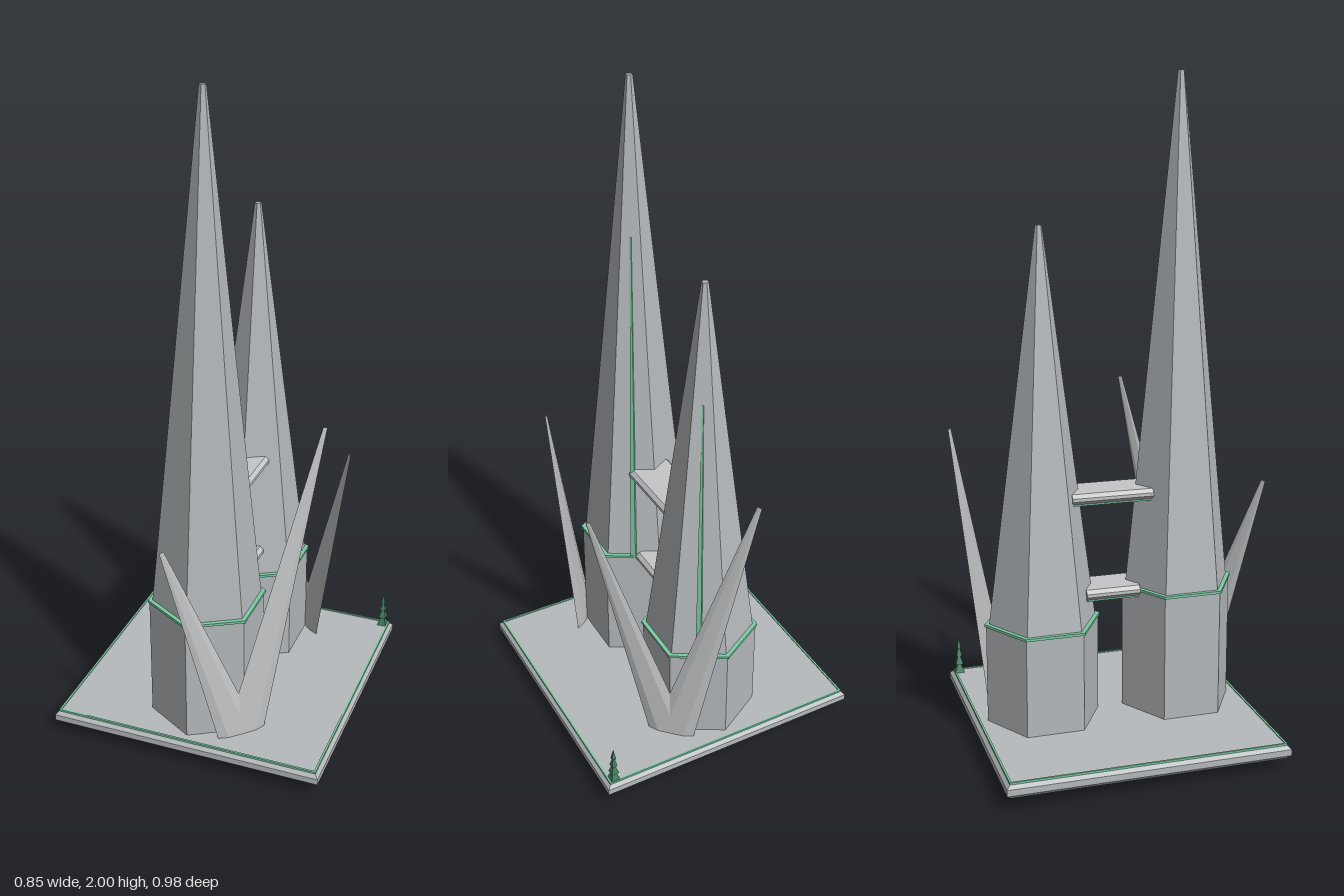
import * as THREE from 'three';

const mat = (name, color) =>
  new THREE.MeshStandardMaterial({ name, color, flatShading: true });

export function createModel() {
  const stone = mat('stone grey', 0xb6babd);
  const pale = mat('pale grey', 0xc4c6c7);
  const green = mat('mint green', 0x7cc9a2);
  const treeGreen = mat('dark green', 0x3f7f5f);

  const model = new THREE.Group();
  model.name = 'twinSpires';

  const add = (parent, name, geometry, material, x = 0, y = 0, z = 0) => {
    const mesh = new THREE.Mesh(geometry, material);
    mesh.name = name;
    mesh.position.set(x, y, z);
    parent.add(mesh);
    return mesh;
  };
  const square = (Type, r) => new Type([
    new THREE.Vector2(-r, -r), new THREE.Vector2(r, -r),
    new THREE.Vector2(r, r), new THREE.Vector2(-r, r),
  ]);

  // Chamfered base plate with a thin inlaid border
  const plate = new THREE.ExtrudeGeometry(square(THREE.Shape, 0.412), {
    depth: 0.019, bevelThickness: 0.013, bevelSize: 0.013, bevelSegments: 1,
  });
  plate.rotateX(-Math.PI / 2);
  add(model, 'basePlate', plate, stone, 0, 0.048, 0);
  const frame = square(THREE.Shape, 0.415);
  frame.holes.push(square(THREE.Path, 0.409));
  const border = new THREE.ExtrudeGeometry(frame, { depth: 0.006, bevelEnabled: false });
  border.rotateX(-Math.PI / 2);
  add(model, 'baseBorder', border, green, 0, 0.077, 0);

  // Hexagonal tower: drum, collar, spire and a tapered strip on one face
  const up = new THREE.Vector3(0, 1, 0);
  const makeTower = (name, z, collarY, topY) => {
    const tower = new THREE.Group();
    tower.name = name;
    tower.position.z = z;
    model.add(tower);
    const drumH = collarY - 0.07, h = topY - collarY;
    add(tower, 'drum', new THREE.CylinderGeometry(0.174, 0.174, drumH, 6), stone, 0, 0.07 + drumH / 2, 0);
    add(tower, 'collar', new THREE.CylinderGeometry(0.179, 0.179, 0.008, 6), green, 0, collarY, 0);
    add(tower, 'spire', new THREE.CylinderGeometry(0.01, 0.165, h, 6), stone, 0, collarY + h / 2, 0);

    const onFace = (d, y) => new THREE.Vector3(0.5 * d, y, -0.866 * d);
    const a = onFace(0.145, collarY), b = onFace(0.05, collarY + 0.7 * h);
    const dir = b.clone().sub(a);
    const strip = add(tower, 'lightStrip',
      new THREE.CylinderGeometry(0.003, 0.012, dir.length(), 4), green);
    strip.position.copy(a).add(b).multiplyScalar(0.5);
    strip.quaternion.setFromUnitVectors(up, dir.normalize());
  };
  makeTower('frontTower', 0.213, 0.47, 2.0);
  makeTower('backTower', -0.213, 0.385, 1.57);

  // Chamfered bridges with a coloured underside
  const makeBridge = (name, y0, y1, z0, z1) => {
    const w = 0.07, c = 0.011, length = z1 - z0;
    const profile = new THREE.Shape([
      [-w + c, y0], [w - c, y0], [w, y0 + c], [w, y1 - c],
      [w - c, y1], [-w + c, y1], [-w, y1 - c], [-w, y0 + c],
    ].map(([x, y]) => new THREE.Vector2(x, y)));
    add(model, name,
      new THREE.ExtrudeGeometry(profile, { depth: length, bevelEnabled: false }), pale, 0, 0, z0);
    add(model, name + 'Underside',
      new THREE.BoxGeometry(2 * (w - c), 0.006, length), green, 0, y0 - 0.002, (z0 + z1) / 2);
  };
  makeBridge('upperBridge', 0.753, 0.785, -0.135, 0.115);
  makeBridge('lowerBridge', 0.453, 0.485, -0.092, 0.075);

  // Pairs of flat tapered blades, leaning apart in a diagonal plane
  const makeBlades = (name, side, blades) => {
    const pair = new THREE.Group();
    pair.name = name;
    pair.position.set(0.152, 0, side * 0.31);
    pair.rotation.y = side * Math.PI / 4;
    model.add(pair);
    for (const [tipX, tipY, baseY] of blades) {
      const rise = tipY - baseY;
      const geometry = new THREE.CylinderGeometry(0.007, 0.065, Math.hypot(tipX, rise), 6);
      geometry.rotateY(Math.PI / 2);
      geometry.scale(1, 1, 0.18);
      geometry.rotateZ(-Math.atan2(tipX, rise));
      add(pair, 'blade', geometry, pale, tipX / 2, baseY + rise / 2, 0);
    }
  };
  makeBlades('frontBlades', 1, [[-0.25, 0.77, 0.021], [0.25, 1.053, 0.055]]);
  makeBlades('backBlades', -1, [[-0.25, 1.0, 0.04], [0.25, 0.84, 0.057]]);

  // Small tiered tree in the back corner
  const tree = new THREE.Group();
  tree.name = 'tree';
  tree.position.set(0.395, 0.08, -0.399);
  model.add(tree);
  for (let i = 0; i < 4; i++) {
    const h = 0.042 - i * 0.002;
    const tier = add(tree, 'treeTier',
      new THREE.ConeGeometry(0.021 - i * 0.004, h, 4), treeGreen, 0, i * 0.028 + h / 2, 0);
    tier.rotation.y = Math.PI / 4;
  }

  return model;
}
